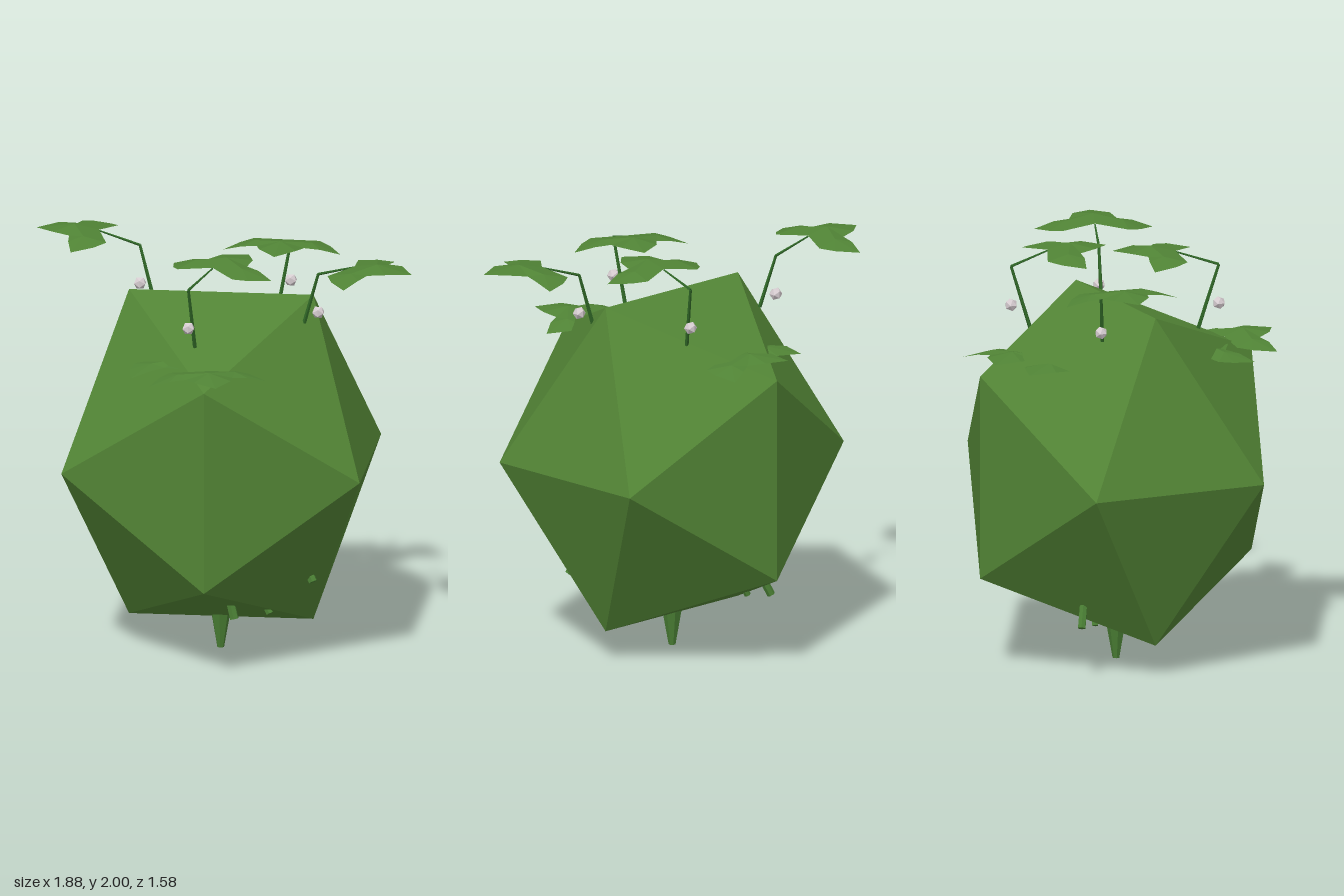
import * as THREE from 'three';

const mat = (name, color, extra = {}) =>
  Object.assign(new THREE.MeshStandardMaterial({ color, flatShading: true, ...extra }), { name });

// Three-lobed leaf: stalk end at the origin, tip along +z, gently arched in y
function leafGeometry() {
  const half = {
    B: [0, 0.004, 0], M: [0, 0.028, 0.12], T: [0, 0.0, 0.305],
    L: [0.14, 0.008, 0.05], C: [0.16, -0.014, -0.065], D: [0.22, -0.024, -0.015],
    E: [0.285, -0.036, 0.085], F: [0.19, -0.008, 0.115], N: [0.115, 0, 0.125], S: [0.09, 0.008, 0.21],
  };
  const pos = [];
  for (const side of [1, -1]) {
    for (const tri of ['MLB', 'LCB', 'LDC', 'LED', 'LFE', 'LNF', 'MNL', 'MSN', 'MTS']) {
      const [a, b, c] = [...tri].map((k) => new THREE.Vector3(half[k][0] * side, half[k][1], half[k][2]));
      // order the corners so that every face points upwards
      const up = b.clone().sub(a).cross(c.clone().sub(a)).y > 0;
      for (const v of up ? [a, b, c] : [a, c, b]) pos.push(v.x, v.y, v.z);
    }
  }
  const g = new THREE.BufferGeometry();
  g.setAttribute('position', new THREE.Float32BufferAttribute(pos, 3));
  g.computeVertexNormals();
  return g;
}

export function createModel() {
  const group = new THREE.Group();
  const bodyMat = mat('body green', 0x528435);
  const leafMat = mat('leaf green', 0x508335, { side: THREE.DoubleSide });
  const stemMat = mat('stem dark green', 0x2f6626);
  const rootMat = mat('root green', 0x4a7f34);
  const berryMat = mat('berry grey', 0xd6ccd0);

  const add = (name, geometry, material, p) => {
    const m = new THREE.Mesh(geometry, material);
    m.name = name;
    m.position.set(...p);
    group.add(m);
    return m;
  };

  // Tapered rod from point a to point b
  const rod = (name, a, b, ra, rb, material, sides = 5) => {
    const A = new THREE.Vector3(...a), B = new THREE.Vector3(...b);
    const d = B.clone().sub(A);
    const m = add(name, new THREE.CylinderGeometry(rb, ra, d.length(), sides), material,
      A.clone().add(B).multiplyScalar(0.5).toArray());
    m.quaternion.setFromUnitVectors(new THREE.Vector3(0, 1, 0), d.normalize());
  };

  // Faceted body, slightly taller than wide
  add('body', new THREE.IcosahedronGeometry(0.847, 0), bodyMat, [-0.015, 0.96, -0.07])
    .scale.set(1, 1.12, 1);

  // Leaves: stalk end and forward direction in plan
  const leafGeo = leafGeometry();
  const leaf = (name, p, fx, fz) => {
    add(name, leafGeo, leafMat, p).rotation.y = Math.atan2(fx, fz);
  };

  // Stalks with an elbow, each with a raised leaf and a berry below the elbow
  const stalks = [
    { base: [-0.37, 1.66, -0.31], elbow: [-0.44, 1.91, -0.35], end: [-0.64, 1.97, -0.368], dir: [-1, -0.07] },
    { base: [-0.095, 1.6, 0.33], elbow: [-0.115, 1.91, 0.43], end: [-0.02, 1.97, 0.245], dir: [0.47, -0.88] },
    { base: [0.4, 1.66, 0.05], elbow: [0.47, 1.91, 0.07], end: [0.655, 1.97, 0.137], dir: [0.936, 0.351] },
    { base: [0.22, 1.6, -0.41], elbow: [0.272, 1.91, -0.49], end: [0.265, 1.97, -0.3], dir: [-0.05, 1] },
  ];
  const berryGeo = new THREE.IcosahedronGeometry(0.032, 0);
  for (const { base, elbow, end, dir } of stalks) {
    rod('stemLower', base, elbow, 0.01, 0.007, stemMat);
    rod('stemUpper', elbow, end, 0.007, 0.004, stemMat);
    leaf('raisedLeaf', end, ...dir);
    add('berry', berryGeo, berryMat, [elbow[0], 1.72, elbow[2]]);
  }

  // Low leaves lying against the body, partly sunk into it
  leaf('frontLowLeaf', [-0.03, 1.525, 0.5], 0.29, 0.957);
  leaf('frontSideLowLeaf', [-0.23, 1.515, 0.24], 0.66, 0.75);
  leaf('backLowLeaf', [0.07, 1.533, -0.52], -0.62, -0.79);
  leaf('backSideLowLeaf', [-0.14, 1.512, -0.405], -0.53, -0.85);

  // Main root and the small side roots
  rod('mainRoot', [-0.018, 0, -0.07], [-0.018, 0.24, -0.07], 0.017, 0.06, rootMat, 7);
  const rootlets = [
    [[0.09, 0.24, 0.285], [0.065, 0.34, 0.27], 0.022],
    [[0.25, 0.245, 0.185], [0.22, 0.3, 0.17], 0.018],
    [[0.455, 0.4, 0.155], [0.42, 0.47, 0.13], 0.022],
    [[-0.29, 0.24, -0.31], [-0.24, 0.36, -0.29], 0.016],
    [[-0.35, 0.25, -0.41], [-0.28, 0.42, -0.36], 0.02],
  ];
  for (const [a, b, r] of rootlets) rod('rootlet', a, b, r, r, rootMat, 6);

  return group;
}
